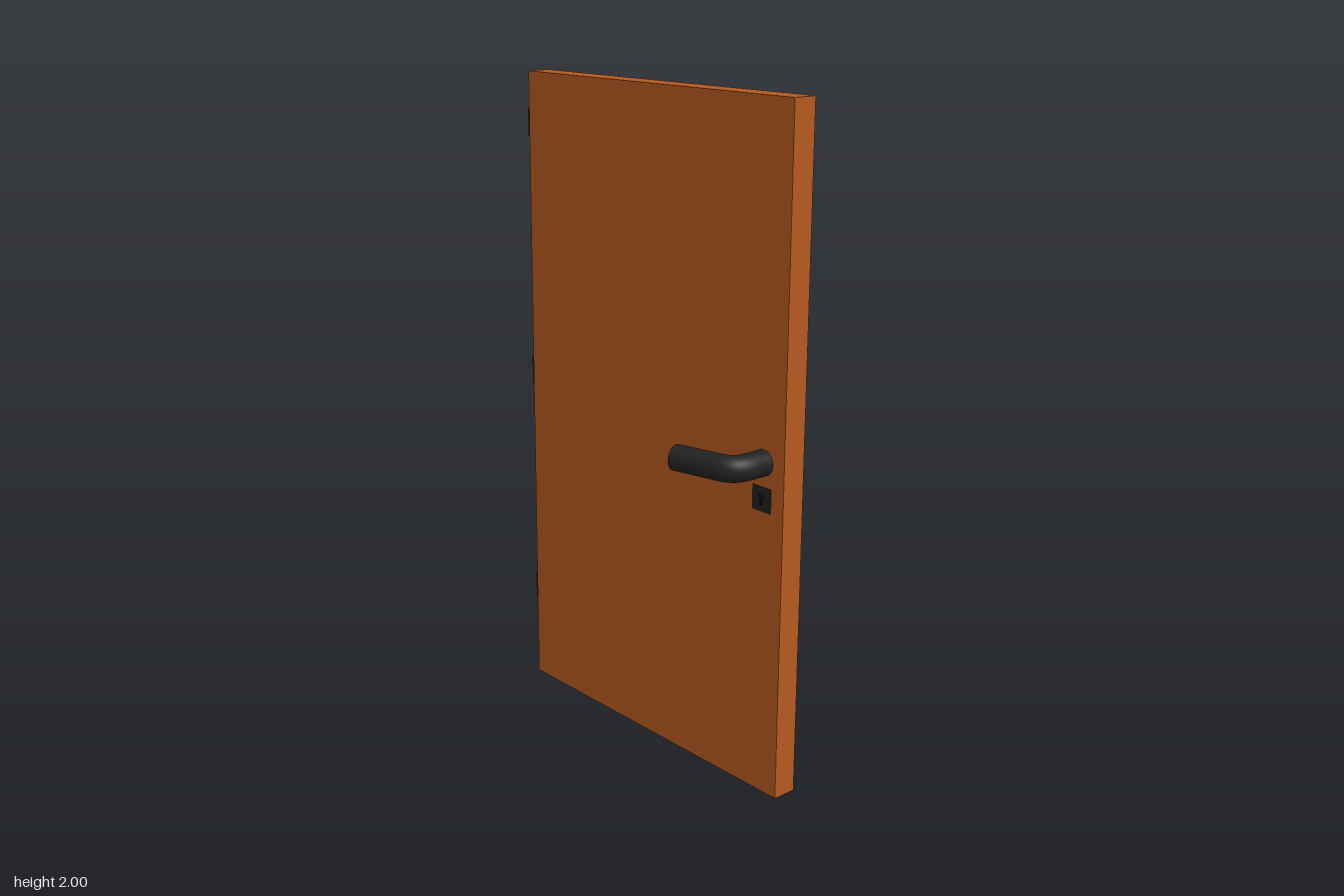
import * as THREE from 'three';

const wood = new THREE.MeshStandardMaterial({ color: 0xb5591f });
const metal = new THREE.MeshStandardMaterial({ color: 0x222222 });
const dark = new THREE.MeshStandardMaterial({ color: 0x0a0a0a });

const FRONT = -0.058; // z of the door's front face
const BACK = -0.134;

function add(parent, name, geometry, material, x = 0, y = 0, z = 0) {
  const mesh = new THREE.Mesh(geometry, material);
  mesh.name = name;
  mesh.position.set(x, y, z);
  parent.add(mesh);
  return mesh;
}

// Lever: a round bar leaving the door, bending and running back across it
function addHandle(parent) {
  const handle = new THREE.Group();
  handle.name = 'handle';
  handle.position.y = 1.004;
  parent.add(handle);

  const v = (x, z) => new THREE.Vector3(x, 0, z);
  const path = new THREE.CurvePath();
  path.add(new THREE.LineCurve3(v(0.499, FRONT - 0.005), v(0.499, -0.01)));
  path.add(new THREE.CubicBezierCurve3(v(0.499, -0.01), v(0.499, 0.03), v(0.49, 0.053), v(0.45, 0.063)));
  path.add(new THREE.LineCurve3(v(0.45, 0.063), v(0.307, 0.094)));
  const radius = 0.038;
  add(handle, 'lever', new THREE.TubeGeometry(path, 32, radius, 24), metal);

  // Flat end of the lever
  const cap = add(handle, 'leverEnd', new THREE.CircleGeometry(radius, 24), metal, 0.307, 0, 0.094);
  cap.rotation.y = Math.atan2(-0.143, 0.031);
}

// Square plate with a keyhole cut through it
function addLock(parent) {
  const lock = new THREE.Group();
  lock.name = 'lock';
  lock.position.set(0.496, 0.897, FRONT);
  parent.add(lock);

  const h = 0.036;
  const plate = new THREE.Shape([
    new THREE.Vector2(-h, -h), new THREE.Vector2(h, -h),
    new THREE.Vector2(h, h), new THREE.Vector2(-h, h),
  ]);
  const keyhole = new THREE.Path();
  keyhole.moveTo(-0.005, -0.018);
  keyhole.lineTo(-0.006, 0);
  keyhole.absarc(0, 0.008, 0.012, Math.PI * 1.3, -Math.PI * 0.3, true);
  keyhole.lineTo(0.006, 0);
  keyhole.lineTo(0.005, -0.018);
  plate.holes.push(keyhole);
  add(lock, 'keyPlate', new THREE.ExtrudeGeometry(plate, { depth: 0.002, bevelEnabled: false, curveSegments: 12 }), metal);
  add(lock, 'keyholeBack', new THREE.PlaneGeometry(0.04, 0.05), dark, 0, 0, 0.0006);
}

export function createModel() {
  const door = new THREE.Group();
  door.name = 'door';

  add(door, 'panel', new THREE.BoxGeometry(1.13, 2, FRONT - BACK), wood, 0.015, 1, (FRONT + BACK) / 2);

  // Three hinges, each a pair of offset barrels
  const barrel = new THREE.CylinderGeometry(0.015, 0.015, 0.085, 20);
  [1.79, 0.995, 0.25].forEach((y) => {
    const hinge = new THREE.Group();
    hinge.name = 'hinge';
    hinge.position.set(-0.567, y, 0);
    door.add(hinge);
    add(hinge, 'upperBarrel', barrel, metal, 0, 0.053, -0.085);
    add(hinge, 'lowerBarrel', barrel, metal, 0, -0.053, -0.115);
  });

  addHandle(door);
  addLock(door);
  return door;
}
